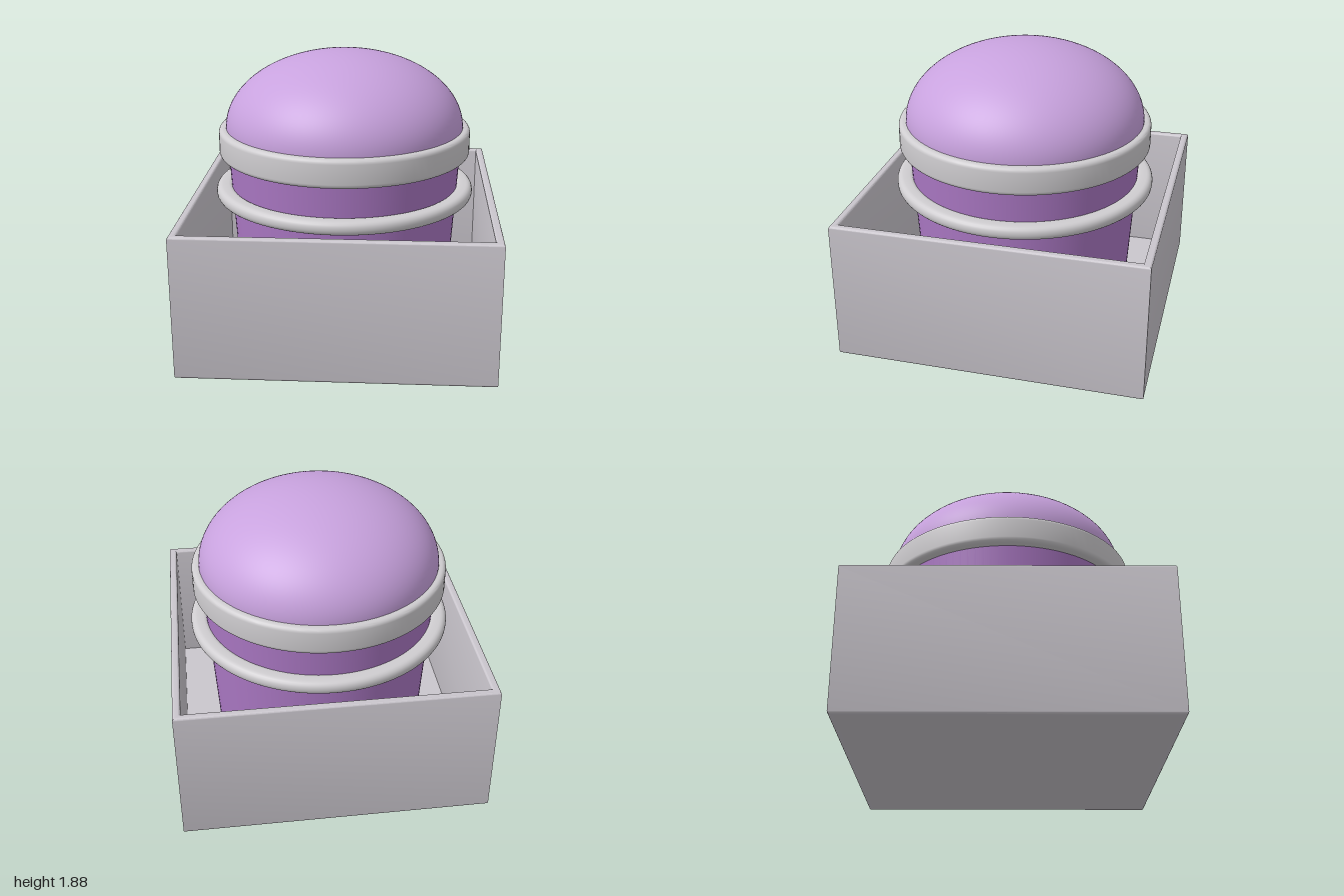
import * as THREE from 'three';
import { toCreasedNormals } from 'three/addons/utils/BufferGeometryUtils.js';

const flat = (name, color) => {
  const m = new THREE.MeshStandardMaterial({ color });
  m.name = name;
  return m;
};

// Ring with a rounded rectangular cross-section
function ringGeometry(inner, outer, y0, y1, r) {
  const pts = [];
  const corners = [[outer - r, y0 + r, -90], [outer - r, y1 - r, 0], [inner + r, y1 - r, 90], [inner + r, y0 + r, 180]];
  for (const [cx, cy, start] of corners) {
    for (let i = 0; i <= 5; i++) {
      const a = THREE.MathUtils.degToRad(start + i * 18);
      pts.push(new THREE.Vector2(cx + r * Math.cos(a), cy + r * Math.sin(a)));
    }
  }
  pts.push(pts[0].clone());
  return toCreasedNormals(new THREE.LatheGeometry(pts, 96), 0.6);
}

function square(target, h) {
  target.moveTo(-h, -h);
  target.lineTo(h, -h);
  target.lineTo(h, h);
  target.lineTo(-h, h);
  target.closePath();
  return target;
}

export function createModel() {
  const grey = flat('case grey', 0xcac6cd);
  const silver = flat('ring grey', 0xcfcdd0);
  const lilac = flat('dome lilac', 0xc8a2de);
  const purple = flat('drum purple', 0xab78c4);

  const model = new THREE.Group();
  model.name = 'domeButton';
  const add = (name, geometry, material) => {
    const mesh = new THREE.Mesh(geometry, material);
    mesh.name = name;
    model.add(mesh);
    return mesh;
  };

  // Open box: four walls with a softened rim, and a floor
  const bevel = 0.015, height = 0.94;
  const outline = square(new THREE.Shape(), 1 - bevel);
  outline.holes.push(square(new THREE.Path(), 0.965));
  const walls = new THREE.ExtrudeGeometry(outline, {
    depth: height - 2 * bevel, bevelSize: bevel, bevelThickness: bevel, bevelSegments: 4,
  });
  walls.rotateX(-Math.PI / 2).translate(0, bevel, 0);
  add('boxWalls', toCreasedNormals(walls, 0.7), grey);
  add('boxFloor', new THREE.BoxGeometry(1.95, 0.04, 1.95).translate(0, 0.02, 0), grey);

  // Tapered drum standing on the floor
  add('drum', new THREE.CylinderGeometry(0.782, 0.70, 1.34, 96).translate(0, 0.71, 0), purple);

  // Lower ring and wide collar
  add('lowerRing', ringGeometry(0.74, 0.86, 0.91, 1.0, 0.04), silver);
  add('collar', ringGeometry(0.74, 0.832, 1.2, 1.385, 0.03), silver);

  // Flattened dome
  const dome = new THREE.SphereGeometry(1, 96, 32, 0, Math.PI * 2, 0, Math.PI / 2);
  dome.scale(0.785, 0.5, 0.785).translate(0, 1.38, 0);
  add('dome', dome, lilac);

  return model;
}
